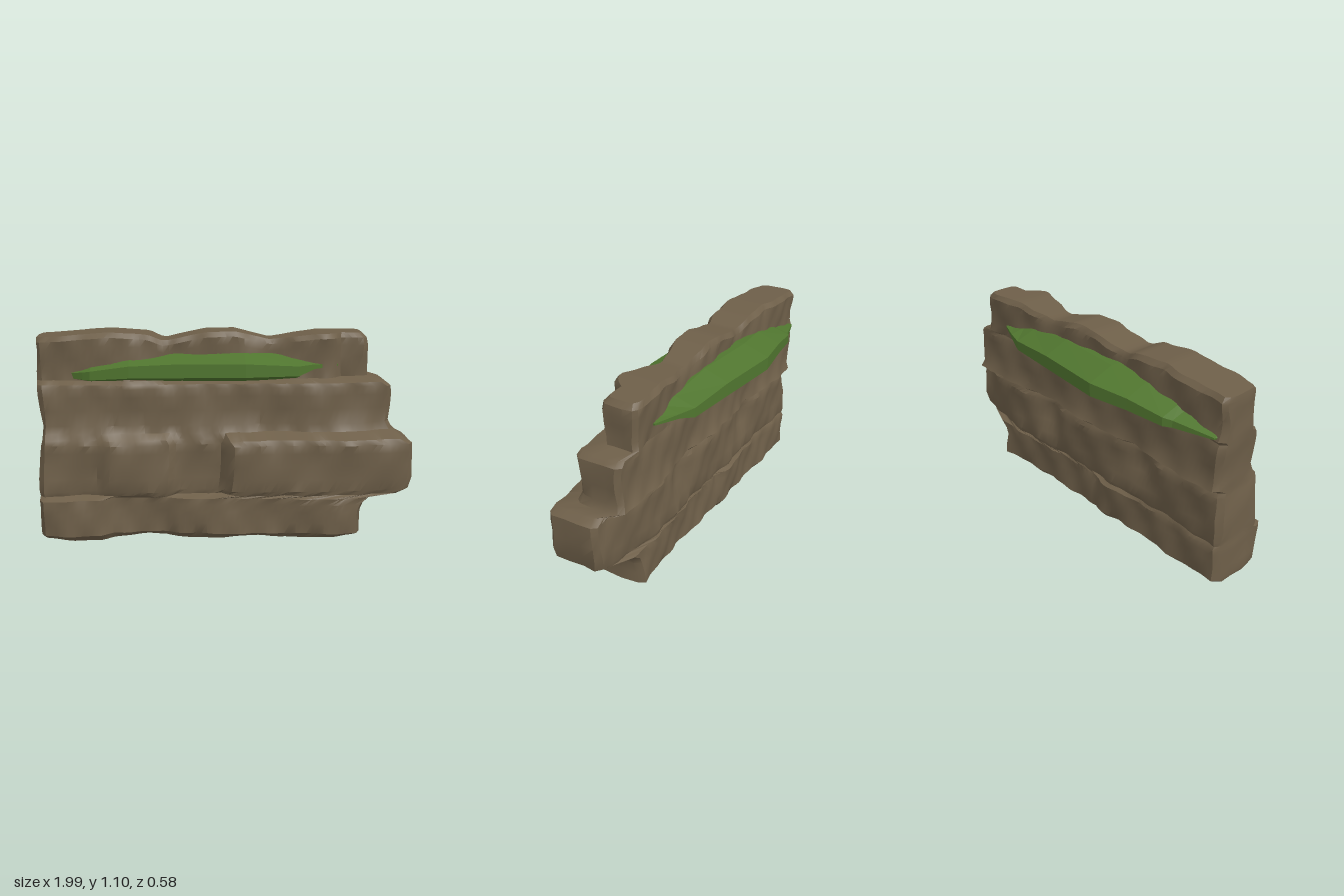
import * as THREE from 'three';
import { toCreasedNormals } from 'three/addons/utils/BufferGeometryUtils.js';

const stone = new THREE.MeshStandardMaterial({ color: 0x6e5f49 });
stone.name = 'brownStone';
const moss = new THREE.MeshStandardMaterial({ color: 0x50752f });
moss.name = 'mossGreen';

// Skin a stack of closed rings that all have the same number of points
function loft(rings) {
  const n = rings[0].length, index = [];
  for (let j = 0; j < rings.length - 1; j++) {
    for (let i = 0; i < n; i++) {
      const a = j * n + i, b = j * n + (i + 1) % n;
      index.push(a, b, b + n, a, b + n, a + n);
    }
  }
  const geo = new THREE.BufferGeometry();
  geo.setAttribute('position', new THREE.Float32BufferAttribute(rings.flat(2), 3));
  geo.setIndex(index);
  return geo;
}

// Linear lookup in a list of [x, value] pairs
function lookup(list, x) {
  if (x <= list[0][0]) return list[0][1];
  for (let k = 1; k < list.length; k++) {
    const [x0, v0] = list[k - 1], [x1, v1] = list[k];
    if (x <= x1) return v0 + (v1 - v0) * (x - x0) / (x1 - x0);
  }
  return list[list.length - 1][1];
}

// Depth of the front face for each course of stone, from the ground up
const fronts = [
  [[-1, .23], [-.88, .25], [-.66, .235], [-.6, .195], [-.32, .19], [-.27, .215], [0, .24], [.3, .25], [.6, .275], [.75, .25]],
  [[-1, .21], [-.68, .19], [-.62, .225], [-.3, .225], [-.26, .185], [-.02, .19], [.02, .255], [.3, .25], [.6, .265], [1, .235]],
  [[-1, .14], [-.6, .165], [-.25, .15], [0, .155], [.25, .14], [.5, .165], [.7, .15], [.9, .12]],
  [[-1, .1], [-.5, .13], [-.38, .125], [-.3, .1], [.1, .095], [.25, .06], [.36, .1], [.52, .12], [.58, .1], [.62, .05], [.8, .045]],
];
const backs = [
  [[-1, -.1], [-.5, -.09], [-.15, -.105], [-.1, -.08], [.5, -.09], [.75, -.1]],
  [[-1, -.1], [-.5, -.09], [.1, -.09], [.6, -.1], [.8, -.07], [.9, -.04]],
  [[-1, -.12], [-.4, -.1], [.2, -.1], [.6, -.11], [.9, -.12]],
  [[-1, -.13], [-.4, -.115], [-.3, -.1], [.25, -.1], [.5, -.125], [.8, -.13]],
];
const crest = [[-1, -.01], [-.85, 0], [-.6, .02], [-.4, .005], [-.32, -.03], [-.1, .015], [.05, .018], [.24, -.03], [.5, .005], [.76, 0]];

// Rows: height, right end, course, pinch of depth towards the middle
const rows = [
  [.01, .69, 0, 1], [.01, .69, 0, .2], [.04, .72, 0, 0], [.1, .72, 0, 0], [.16, .72, 0, 0],
  [.2, .735, 0, 0], [.235, .78, 0, 0], [.25, .93, 1, .06], [.275, .97, 1, 0], [.34, .985, 1, 0],
  [.41, .99, 1, 0], [.48, .99, 1, 0], [.525, .985, 1, 0], [.55, .94, 1, .08], [.58, .9, 2, -.12],
  [.62, .88, 2, 0], [.7, .885, 2, 0], [.77, .885, 2, 0], [.815, .88, 2, 0], [.835, .85, 2, .05],
  [.855, .77, 3, -.03], [.9, .765, 3, 0], [.96, .76, 3, 0], [1.02, .765, 3, 0], [1.06, .76, 3, 0],
  [1.085, .735, 3, .18], [1.085, .72, 3, 1],
];

function bump(x, y, cx, cy, w, h) {
  return Math.exp(-(((x - cx) / w) ** 2) - ((y - cy) / h) ** 2);
}
// Rough stone relief
function rough(x, y, s) {
  return .007 * Math.sin(9 * x + 13 * y + s) + .005 * Math.sin(23 * x - 17 * y + 2 * s)
    + .004 * Math.sin(41 * x + 31 * y + 3 * s);
}

function wallGeometry() {
  const N = 56;
  const rings = rows.map(([y, right, course, pinch]) => {
    const left = -.985 + .02 * bump(0, y, 0, .62, 1, .2) + .02 * pinch;
    const lift = THREE.MathUtils.smoothstep(y, .86, 1.06);
    const face = (x, front) => {
      const f = lookup(fronts[course], x) + rough(x, y, 1);
      // Two hollows worn into the back
      const b = lookup(backs[course], x) + rough(x, y, 4)
        + .045 * bump(x, y, .27, .47, .09, .12) + .05 * bump(x, y, -.42, .45, .1, .1);
      const mid = (f + b) / 2;
      return THREE.MathUtils.lerp(front ? f : b, mid, pinch);
    };
    const point = (x, z) => [x, y + lift * lookup(crest, x) + (y < .03 ? .008 * Math.sin(11 * x) : 0), z];
    const x0 = left + .025, x1 = right - .025, ring = [];
    for (let i = 0; i <= N; i++) {
      const x = x0 + (x1 - x0) * i / N;
      ring.push(point(x, face(x, true)));
    }
    const side = (x, from, to, s) => {
      for (const t of [.1, .35, .65, .9]) {
        ring.push(point(x + rough(t, y, s) * .6, THREE.MathUtils.lerp(from, to, t)));
      }
    };
    side(right, face(x1, true), face(x1, false), 2);
    for (let i = N; i >= 0; i--) {
      const x = x0 + (x1 - x0) * i / N;
      ring.push(point(x, face(x, false)));
    }
    side(left, face(x0, false), face(x0, true), 5);
    return ring;
  });
  return toCreasedNormals(loft(rings), .6);
}

// Sections along x: position, height, half thickness, back and front depth
const mossSections = [
  [-.95, .87, 0, -.1, -.1], [-.94, .87, .012, -.14, 0], [-.74, .885, .045, -.2, .15], [-.7, .89, .055, -.225, .175],
  [-.5, .91, .075, -.255, .195], [-.28, .915, .085, -.29, .2], [.1, .915, .085, -.25, .21],
  [.38, .905, .062, -.22, .175], [.47, .92, .03, -.19, .125], [.6, .92, .012, -.13, .075], [.61, .92, 0, -.03, -.03],
];
function mossGeometry() {
  return loft(mossSections.map(([x, y, h, zb, zf]) => {
    const ring = [];
    for (let i = 0; i < 8; i++) {
      const a = -(i + .5) * Math.PI / 4;
      ring.push([x, y + h * Math.sin(a) / .924, (zf + zb) / 2 + (zf - zb) / 2 * Math.cos(a) / .924]);
    }
    return ring;
  })).toNonIndexed();
}

export function createModel() {
  const group = new THREE.Group();
  group.name = 'mossyWall';
  const wall = new THREE.Mesh(wallGeometry(), stone);
  wall.name = 'stoneWall';
  const geo = mossGeometry();
  geo.computeVertexNormals();
  const patch = new THREE.Mesh(geo, moss);
  patch.name = 'mossPatch';
  group.add(wall, patch);
  return group;
}
